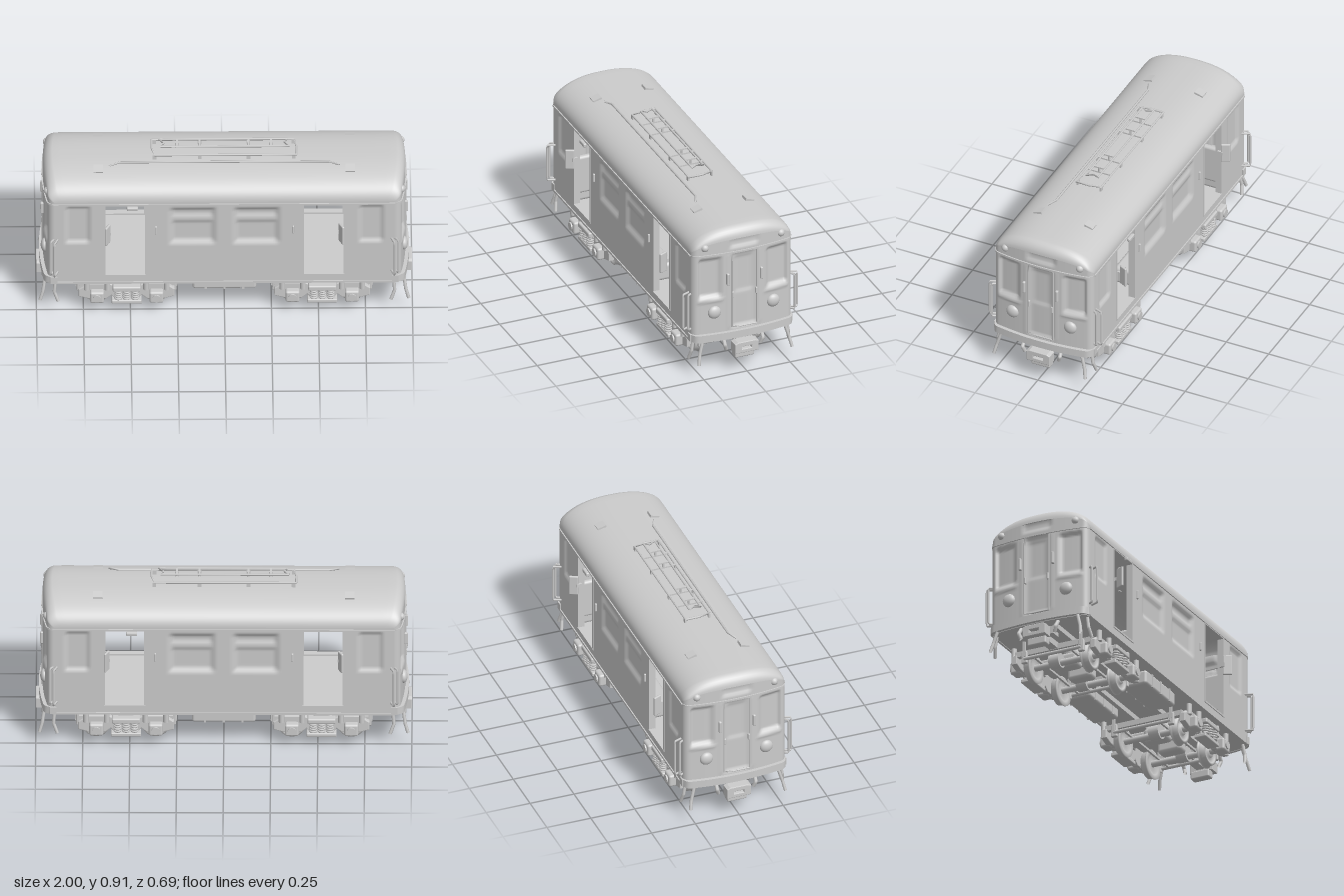
import * as THREE from 'three';
import { RoundedBoxGeometry } from 'three/addons/geometries/RoundedBoxGeometry.js';

const mat = new THREE.MeshStandardMaterial({ color: 0xcccccc, side: THREE.DoubleSide });
const W = 0.29, EAVE = 0.73, V = (x, y, z) => new THREE.Vector3(x, y, z);

// Plan curve of the bowed end, and the vault of the roof
function plan(z) {
  const a = Math.min(Math.abs(z), W), c = Math.max(0, a - 0.26), r = 0.03;
  return 0.965 - 0.03 * (a / W) ** 2 - (r - Math.sqrt(Math.max(0, r * r - c * c)));
}
const vault = z => EAVE + 0.127 * Math.sqrt(Math.max(0, 1 - Math.abs(z / W) ** 2.6));

function add(parent, name, geo, x = 0, y = 0, z = 0) {
  const m = new THREE.Mesh(geo, mat);
  m.name = name;
  m.position.set(x, y, z);
  parent.add(m);
  return m;
}
const box = (g, n, w, h, d, x, y, z) => add(g, n, new THREE.BoxGeometry(w, h, d), x, y, z);
const soft = (g, n, w, h, d, x, y, z, r = 0.01) => add(g, n, new RoundedBoxGeometry(w, h, d, 2, r), x, y, z);
function cyl(g, n, r, len, axis, x, y, z, seg = 20) {
  const geo = new THREE.CylinderGeometry(r, r, len, seg);
  if (axis === 'x') geo.rotateZ(Math.PI / 2);
  if (axis === 'z') geo.rotateX(Math.PI / 2);
  return add(g, n, geo, x, y, z);
}
function tube(g, n, pts, r, closed = false) {
  const path = new THREE.CurvePath();
  const all = closed ? [...pts, pts[0]] : pts;
  for (let i = 1; i < all.length; i++) path.add(new THREE.LineCurve3(all[i - 1], all[i]));
  return add(g, n, new THREE.TubeGeometry(path, (all.length - 1) * 6, r, 6));
}

// Grid surface from a rule (u, v) -> [x, y, z]
function sheet(nu, nv, f) {
  const pos = [], idx = [];
  for (let j = 0; j <= nv; j++) for (let i = 0; i <= nu; i++) pos.push(...f(i / nu, j / nv));
  for (let j = 0; j < nv; j++) for (let i = 0; i < nu; i++) {
    const a = j * (nu + 1) + i, b = a + 1, c = a + nu + 1;
    idx.push(a, b, c + 1, a, c + 1, c);
  }
  const g = new THREE.BufferGeometry();
  g.setAttribute('position', new THREE.Float32BufferAttribute(pos, 3));
  g.setIndex(idx);
  g.computeVertexNormals();
  return g;
}

// Pressed relief: each entry is [u0, u1, v0, v1, depth], positive depth goes inward
const ramp = (t, a, b) => THREE.MathUtils.smoothstep(Math.min(t - a, b - t), 0, 0.02);
const relief = (list, u, v) => list.reduce((s, [a, b, c, d, k]) => s + k * ramp(u, a, b) * ramp(v, c, d), 0);
const sideRelief = [], endRelief = [
  [-0.078, 0.078, 0.255, 0.715, 0.01], [-0.06, 0.06, 0.46, 0.69, 0.006], [-0.09, 0.09, 0.737, 0.805, 0.01]];
for (const s of [-1, 1]) {
  const span = (a, b) => (s > 0 ? [a, b] : [-b, -a]);
  sideRelief.push([...span(0.04, 0.3), 0.45, 0.695, 0.009], [...span(0.055, 0.285), 0.465, 0.605, 0.008],
    [...span(0.055, 0.285), 0.625, 0.685, 0.008], [...span(0.71, 0.85), 0.46, 0.705, 0.012]);
  endRelief.push([...span(0.125, 0.262), 0.455, 0.7, 0.016], [...span(0.11, 0.27), 0.425, 0.455, -0.008],
    [...span(0.08, 0.1), 0.25, 0.72, -0.006]);
}

// Strip that follows the bowed end
function bent(g, name, t, h, halfWidth, y, off) {
  const geo = new THREE.BoxGeometry(t, h, 2, 1, 1, 40), p = geo.attributes.position;
  for (let i = 0; i < p.count; i++) {
    const z = Math.sin(p.getZ(i) * Math.PI / 2) * halfWidth;
    p.setX(i, p.getX(i) + plan(z) + off);
    p.setZ(i, z);
  }
  geo.computeVertexNormals();
  return add(g, name, geo, 0, y, 0);
}

function buildSide(g) {
  // Wall panels left around the two door openings
  const panels = [[-0.905, -0.635, 0.2, EAVE], [-0.42, 0.42, 0.2, EAVE], [0.635, 0.905, 0.2, EAVE]];
  for (const [a, b] of [[-0.635, -0.42], [0.42, 0.635]]) panels.push([a, b, 0.2, 0.255], [a, b, 0.71, EAVE]);
  for (const [a, b, c, d] of panels) {
    add(g, 'sideWall', sheet(Math.ceil((b - a) / 0.011), Math.ceil((d - c) / 0.011), (u, v) => {
      const x = a + (b - a) * u, y = c + (d - c) * v;
      return [x, y, W - relief(sideRelief, x, y)];
    }));
  }
  box(g, 'gutter', 1.82, 0.008, 0.012, 0, 0.715, W);
  box(g, 'sill', 1.82, 0.012, 0.012, 0, 0.206, W);
  for (const s of [-1, 1]) {
    for (const x of [0.417, 0.638]) box(g, 'doorJamb', 0.012, 0.47, 0.036, s * x, 0.482, W - 0.015);
    box(g, 'doorHeader', 0.22, 0.012, 0.036, s * 0.527, 0.712, W - 0.015);
    box(g, 'doorSill', 0.22, 0.01, 0.036, s * 0.527, 0.252, W - 0.013);
    // Swivelled mirror beside the door
    soft(g, 'mirror', 0.014, 0.115, 0.05, s * 0.622, 0.54, 0.322, 0.006).rotation.y = s * 0.45;
    box(g, 'mirrorArm', 0.012, 0.02, 0.03, s * 0.61, 0.54, 0.297);
    soft(g, 'doorHandle', 0.012, 0.05, 0.014, s * 0.365, 0.55, W + 0.003, 0.005);
    // Interior seats and pole
    soft(g, 'endSeat', 0.2, 0.14, 0.15, s * 0.76, 0.32, 0.19, 0.02);
    soft(g, 'endSeatBack', 0.035, 0.22, 0.15, s * 0.67, 0.41, 0.19, 0.015);
    cyl(g, 'pole', 0.007, 0.58, 'y', s * 0.4, 0.54, 0.15, 8);
  }
  soft(g, 'bench', 0.72, 0.1, 0.13, 0, 0.32, 0.2, 0.02);
  soft(g, 'benchBack', 0.72, 0.13, 0.03, 0, 0.4, 0.262, 0.012);
  soft(g, 'doorLamp', 0.06, 0.022, 0.02, -0.49, 0.698, 0.302, 0.006);
  // Equipment box under the floor
  soft(g, 'equipmentBox', 0.34, 0.08, 0.15, 0, 0.165, 0.17, 0.015);
  for (const x of [-0.1, 0, 0.1]) box(g, 'equipmentRib', 0.012, 0.075, 0.156, x, 0.165, 0.17);
}

function buildEnd(g) {
  add(g, 'endWall', sheet(70, 56, (u, v) => {
    const z = W * Math.sin((0.5 - u) * Math.PI), top = EAVE + (vault(z) - EAVE) * 0.5;
    const y = 0.2 + (top - 0.2) * v;
    return [plan(z) - relief(endRelief, z, y), y, z];
  }));
  bent(g, 'cornice', 0.014, 0.01, W, 0.716, 0);
  bent(g, 'bufferBand', 0.035, 0.042, 0.297, 0.224, 0.002);
  tube(g, 'endDoorFrame', [V(0.965, 0.262, -0.073), V(0.965, 0.712, -0.073), V(0.965, 0.712, 0.073), V(0.965, 0.262, 0.073)], 0.005, true);
  for (const s of [-1, 1]) {
    const lamp = new THREE.SphereGeometry(0.037, 20, 14);
    lamp.scale(0.6, 1, 1);
    add(g, 'headlight', lamp, plan(0.17), 0.37, s * 0.17);
    const small = new THREE.SphereGeometry(0.022, 16, 12);
    add(g, 'markerLight', small, plan(0.22) - 0.008, 0.762, s * 0.22);
    soft(g, 'endHandle', 0.02, 0.07, 0.016, 0.968, 0.56, s * 0.097, 0.006);
    soft(g, 'doorLatch', 0.014, 0.04, 0.012, 0.966, 0.46, s * 0.068, 0.005);
    // Corner grab rail and step irons
    for (const dx of [0, 0.02]) {
      tube(g, 'grabRail', [V(0.885 + dx, 0.485, s * 0.28), V(0.905 + dx, 0.485, s * (0.33 - dx)), V(0.905 + dx, 0.275, s * (0.33 - dx)),
        V(0.885 + dx, 0.275, s * 0.28)], 0.0065);
    }
    tube(g, 'stepIron', [V(0.9, 0.2, s * 0.27), V(0.905, 0.14, s * 0.28), V(0.885, 0.085, s * 0.29)], 0.009);
    tube(g, 'stepIron', [V(0.955, 0.2, s * 0.24), V(0.965, 0.13, s * 0.26), V(0.98, 0.08, s * 0.27)], 0.009);
    tube(g, 'brakeHose', [V(0.93, 0.2, s * 0.11), V(0.96, 0.16, s * 0.11), V(0.95, 0.13, s * 0.1)], 0.011);
    const fin = box(g, 'roofVent', 0.05, 0.014, 0.05, 0.67, vault(0.15) + 0.003, s * 0.15);
    fin.rotation.x = s * 0.3;
  }
  // Coupler
  const head = new THREE.Shape([[-0.065, -0.025], [0.065, -0.025], [0.065, 0.025], [0.05, 0.032], [-0.05, 0.032], [-0.065, 0.025]].map(p => new THREE.Vector2(...p)));
  head.holes.push(new THREE.Path([[-0.032, -0.01], [-0.032, 0.012], [0.032, 0.012], [0.032, -0.01]].map(p => new THREE.Vector2(...p))));
  const headGeo = new THREE.ExtrudeGeometry(head, { depth: 0.05, bevelSize: 0.004, bevelThickness: 0.004, bevelSegments: 2 });
  headGeo.rotateY(Math.PI / 2);
  add(g, 'couplerHead', headGeo, 0.946, 0.143, 0);
  box(g, 'couplerBack', 0.012, 0.05, 0.12, 0.94, 0.143, 0);
  soft(g, 'couplerBlock', 0.05, 0.045, 0.11, 0.945, 0.095, 0, 0.008);
  box(g, 'couplerShank', 0.2, 0.035, 0.05, 0.85, 0.145, 0);
  box(g, 'couplerHanger', 0.06, 0.05, 0.12, 0.86, 0.185, 0);
}

function buildBogie() {
  const g = new THREE.Group();
  g.name = 'bogie';
  const wheelGeo = new THREE.LatheGeometry([[0.014, -0.022], [0.03, -0.02], [0.032, -0.01], [0.056, -0.01], [0.058, -0.02], [0.072, -0.02],
    [0.074, 0.008], [0.082, 0.012], [0.082, 0.02], [0.056, 0.02], [0.05, 0.008], [0.014, 0.014]].map(p => new THREE.Vector2(...p)), 32);
  wheelGeo.rotateX(-Math.PI / 2);
  // Arched side frame
  const frame = new THREE.Shape([[-0.25, 0.09], [-0.2, 0.075], [-0.11, 0.075], [-0.08, 0.1], [-0.06, 0.075], [0.06, 0.075], [0.08, 0.1], [0.11, 0.075],
    [0.2, 0.075], [0.25, 0.09], [0.25, 0.13], [0.2, 0.165], [0.1, 0.165], [0.06, 0.15], [-0.06, 0.15], [-0.1, 0.165], [-0.2, 0.165], [-0.25, 0.13]]
    .map(p => new THREE.Vector2(...p)));
  const frameGeo = new THREE.ExtrudeGeometry(frame, { depth: 0.024, bevelSize: 0.005, bevelThickness: 0.005, bevelSegments: 2 });
  for (const z of [-1, 1]) {
    add(g, 'sideFrame', frameGeo, 0, 0, z * 0.235 - 0.012);
    soft(g, 'springPlank', 0.16, 0.022, 0.07, 0, 0.07, z * 0.25, 0.006);
    for (const x of [-0.045, 0, 0.045]) {
      for (let k = 0; k < 4; k++) {
        const coil = new THREE.TorusGeometry(0.016, 0.006, 6, 14);
        coil.rotateX(Math.PI / 2);
        add(g, 'spring', coil, x, 0.09 + k * 0.014, z * 0.268);
      }
    }
    soft(g, 'springCap', 0.15, 0.03, 0.08, 0, 0.155, z * 0.25, 0.008);
    for (const s of [-1, 1]) {
      const wheel = add(g, 'wheel', wheelGeo, s * 0.158, 0.082, z * 0.17);
      if (z < 0) wheel.rotation.y = Math.PI;
      soft(g, 'axleBox', 0.075, 0.07, 0.06, s * 0.158, 0.1, z * 0.26, 0.012);
      cyl(g, 'axleCap', 0.022, 0.02, 'z', s * 0.158, 0.1, z * 0.288);
      for (const d of [-0.055, 0.055]) cyl(g, 'axleSpring', 0.015, 0.06, 'y', s * 0.158 + d, 0.165, z * 0.255, 12);
      soft(g, 'brakeShoe', 0.02, 0.07, 0.035, s * 0.255, 0.11, z * 0.17, 0.006);
      box(g, 'brakeHanger', 0.012, 0.09, 0.014, s * 0.262, 0.155, z * 0.17);
    }
    box(g, 'brakeRod', 0.5, 0.012, 0.012, 0, 0.1, z * 0.11);
  }
  for (const s of [-1, 1]) {
    cyl(g, 'axle', 0.018, 0.5, 'z', s * 0.158, 0.085, 0);
    cyl(g, 'gearCase', 0.042, 0.06, 'z', s * 0.158, 0.1, 0.03);
    cyl(g, 'brakeBeam', 0.01, 0.34, 'z', s * 0.262, 0.1, 0, 10);
    box(g, 'crossMember', 0.03, 0.03, 0.46, s * 0.235, 0.14, 0);
    soft(g, 'motor', 0.08, 0.08, 0.14, s * 0.08, 0.12, 0, 0.02);
  }
  soft(g, 'bolster', 0.09, 0.05, 0.5, 0, 0.16, 0, 0.012);
  cyl(g, 'centrePivot', 0.06, 0.04, 'y', 0, 0.185, 0);
  g.position.x = 0.52;
  return g;
}

export function createModel() {
  const model = new THREE.Group();
  model.name = 'railcar';

  // One side, one end and one bogie, then the same turned by half a turn
  for (const turn of [0, Math.PI]) {
    const half = new THREE.Group();
    half.name = turn ? 'backHalf' : 'frontHalf';
    buildSide(half);
    buildEnd(half);
    half.add(buildBogie());
    half.rotation.y = turn;
    model.add(half);
  }

  // Floor slab following the bowed plan
  const edge = [];
  for (let i = 0; i <= 24; i++) {
    const z = 0.284 * Math.sin((i / 24 - 0.5) * Math.PI);
    edge.push(new THREE.Vector2(plan(z) - 0.005, z));
  }
  const floor = new THREE.ExtrudeGeometry(new THREE.Shape([...edge, ...edge.map(p => p.clone().negate())]), { depth: 0.045, bevelEnabled: false });
  floor.rotateX(-Math.PI / 2);
  add(model, 'floor', floor, 0, 0.203, 0);
  for (const z of [-0.08, 0.08]) box(model, 'underframeBeam', 1.8, 0.03, 0.025, 0, 0.19, z);

  // Vaulted roof with rounded ends
  const R = 0.06, n = 26;
  add(model, 'roof', sheet(n, 56, (u, v) => {
    const z = W * Math.sin((0.5 - v) * Math.PI), t = u * 2 - 1, s = Math.sign(t);
    const a = Math.max(0, (Math.abs(t) - 0.4) / 0.6) * Math.PI / 2;
    const flat = Math.min(1, Math.abs(t) / 0.4);
    const x = s * ((plan(z) - R) * flat + R * Math.sin(a));
    return [x, EAVE + (vault(z) - EAVE) * (0.5 + 0.5 * Math.cos(a)), z];
  }));

  // Roof current collector: low frame, posts and upper rail loop
  const loop = (x, y, z) => [V(-x, y, -z), V(x, y, -z), V(x, y, z), V(-x, y, z)];
  tube(model, 'collectorBase', loop(0.385, 0.88, 0.07), 0.006, true);
  tube(model, 'collectorRail', [V(-0.345, 0.909, -0.033), V(0.345, 0.909, -0.033), V(0.32, 0.909, 0), V(0.345, 0.909, 0.033),
    V(-0.345, 0.909, 0.033), V(-0.32, 0.909, 0)], 0.006, true);
  for (const x of [-0.37, -0.13, 0.13, 0.37]) for (const z of [-0.068, 0.068]) box(model, 'collectorFoot', 0.02, 0.03, 0.01, x, 0.865, z);
  for (const x of [-0.25, -0.13, 0.13, 0.25]) {
    box(model, 'collectorCrossbar', 0.012, 0.008, 0.14, x, 0.88, 0);
    cyl(model, 'collectorPost', 0.007, 0.03, 'y', x, 0.893, 0, 8);
    box(model, 'collectorTopBar', 0.012, 0.008, 0.066, x, 0.909, 0);
  }
  tube(model, 'roofCable', [V(-0.61, 0.855, 0.13), V(-0.6, 0.86, 0.105), V(0.6, 0.86, 0.105), V(0.61, 0.855, 0.13)], 0.006);
  return model;
}
